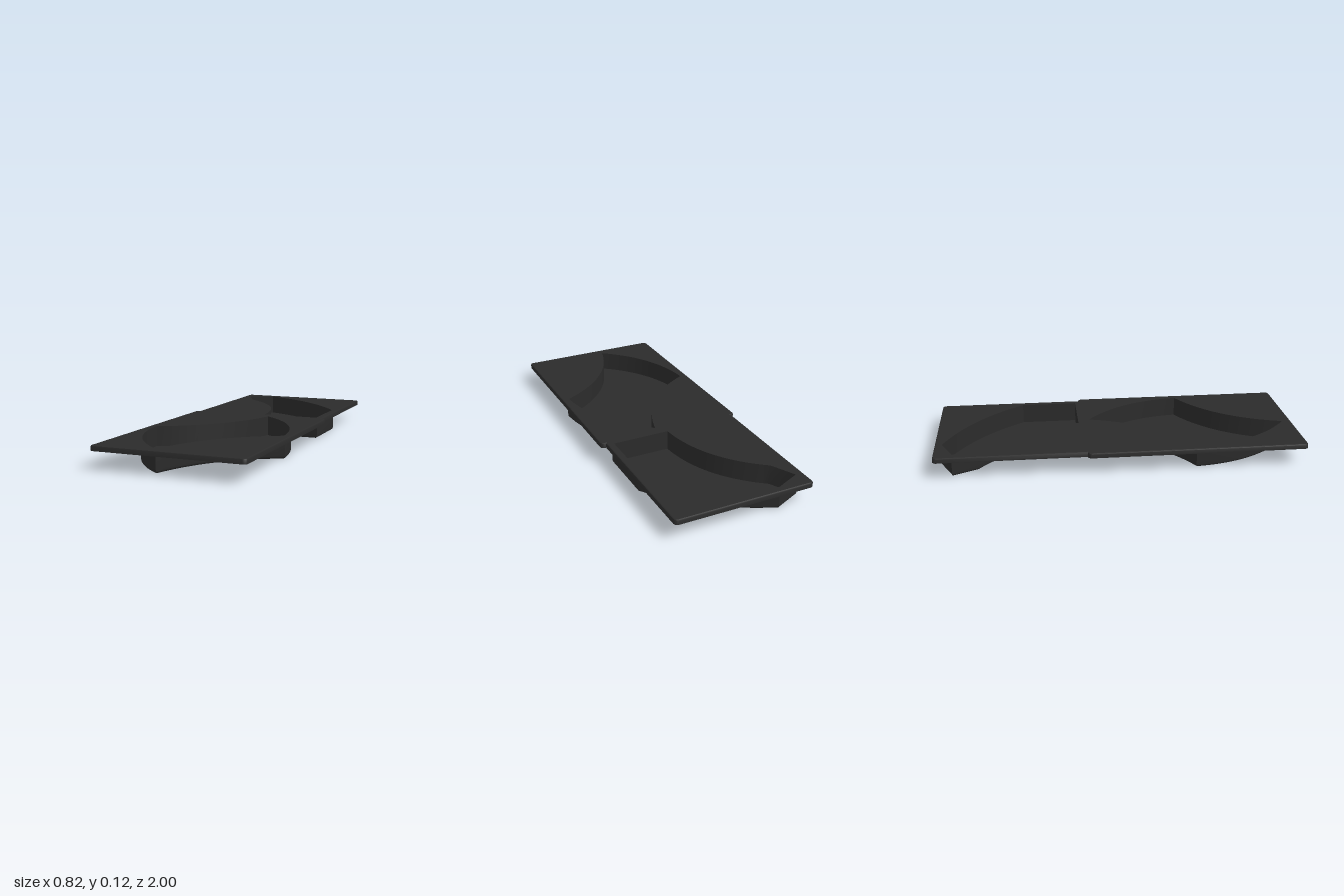
import * as THREE from 'three';
import { toCreasedNormals } from 'three/addons/utils/BufferGeometryUtils.js';

const TOP = 0.12, SKIN = 0.01, WALL = 0.008;
const black = new THREE.MeshStandardMaterial({ color: 0x2b2b2b, side: THREE.DoubleSide });
black.name = 'black plastic';

// Outline (x, -z), anticlockwise; each corner is [x, y, bulge of the side that follows]
function outline(corners) {
  const pts = [];
  corners.forEach(([x, y, bulge], i) => {
    const [qx, qy] = corners[(i + 1) % corners.length];
    const dx = qx - x, dy = qy - y, len = Math.hypot(dx, dy);
    const n = bulge ? 18 : 1;
    for (let k = 0; k < n; k++) {
      const t = k / n, b = 4 * bulge * t * (1 - t) / len;
      pts.push(new THREE.Vector2(x + dx * t + dy * b, y + dy * t - dx * b));
    }
  });
  return pts;
}

function roundedRect(x0, x1, y0, y1, r) {
  const pts = [];
  [[x1 - r, y0 + r], [x1 - r, y1 - r], [x0 + r, y1 - r], [x0 + r, y0 + r]].forEach(([cx, cy], i) => {
    for (let k = 0; k <= 6; k++) {
      const a = (i - 1 + k / 6) * Math.PI / 2;
      pts.push(new THREE.Vector2(cx + r * Math.cos(a), cy + r * Math.sin(a)));
    }
  });
  return pts;
}

// Move an outline outward by d, with mitred corners
function offset(pts, d) {
  const n = pts.length;
  return pts.map((p, i) => {
    const a = p.clone().sub(pts[(i + n - 1) % n]).normalize();
    const b = pts[(i + 1) % n].clone().sub(p).normalize();
    const m = new THREE.Vector2(a.y + b.y, -a.x - b.x);
    return p.clone().addScaledVector(m, d / (1 + a.dot(b)));
  });
}

// Sweep a profile of [offset, height] points round an outline
function sweep(pts, profile) {
  const rings = profile.map(([d, y]) => offset(pts, d).map(p => [p.x, y, -p.y]));
  const pos = [], n = pts.length;
  for (let j = 0; j + 1 < rings.length; j++) {
    for (let i = 0; i < n; i++) {
      const k = (i + 1) % n, a = rings[j], b = rings[j + 1];
      pos.push(...b[i], ...b[k], ...a[k], ...b[i], ...a[k], ...a[i]);
    }
  }
  const g = new THREE.BufferGeometry();
  g.setAttribute('position', new THREE.Float32BufferAttribute(pos, 3));
  return toCreasedNormals(g, 0.55);
}

// Flat sheet at height y, facing up or down, with an optional hole
function sheet(pts, y, up, hole) {
  const flip = up ? 1 : -1;
  const place = list => list.map(p => new THREE.Vector2(p.x, p.y * flip));
  const shape = new THREE.Shape(place(pts));
  if (hole) shape.holes.push(new THREE.Path(place(hole)));
  return new THREE.ShapeGeometry(shape).rotateX(-flip * Math.PI / 2).translate(0, y, 0);
}

function tray(name, plate, pocket) {
  const group = new THREE.Group();
  group.name = name;
  const add = (part, geometry) => {
    const mesh = new THREE.Mesh(geometry, black);
    mesh.name = part;
    group.add(mesh);
  };
  // Plate with a downturned rim
  add('plateTop', sheet(offset(plate, -0.006), TOP, true, pocket));
  add('plateUnderside', sheet(offset(plate, -0.01), TOP - SKIN, false, offset(pocket, WALL)));
  add('plateRim', sweep(plate, [[-0.006, TOP], [-0.0018, TOP - 0.0018], [0, TOP - 0.006],
    [0, 0.093], [-0.01, 0.093], [-0.01, TOP - SKIN]]));
  // Pocket walls with a rounded lower edge
  const r = 0.014, outer = [[WALL, TOP - SKIN]];
  for (let k = 0; k <= 4; k++) {
    const a = k * Math.PI / 8;
    outer.push([WALL - r + r * Math.cos(a), r - r * Math.sin(a)]);
  }
  add('pocketInnerWall', sweep(pocket, [[0, SKIN], [0, TOP]]));
  add('pocketOuterWall', sweep(pocket, outer));
  add('pocketFloor', sheet(pocket, SKIN, true));
  add('pocketBase', sheet(offset(pocket, WALL - r), 0, false));
  return group;
}

export function createModel() {
  const model = new THREE.Group();
  model.name = 'trays';
  model.add(tray('frontTray', roundedRect(-0.41, 0.41, -1, 0.19, 0.02), outline([
    [0.37, -0.4, 0.07], [0.072, 0.148, -0.08], [-0.37, -0.4, 0.07], [-0.072, -0.95, -0.08]])));
  model.add(tray('backTray', roundedRect(-0.388, 0.383, 0.175, 1, 0.02), outline([
    [0.345, 0.212, 0], [0.345, 0.525, 0.055], [-0.207, 0.962, 0], [-0.345, 0.9, 0],
    [-0.28, 0.77, -0.075], [0.027, 0.212, 0]])));
  return model;
}
